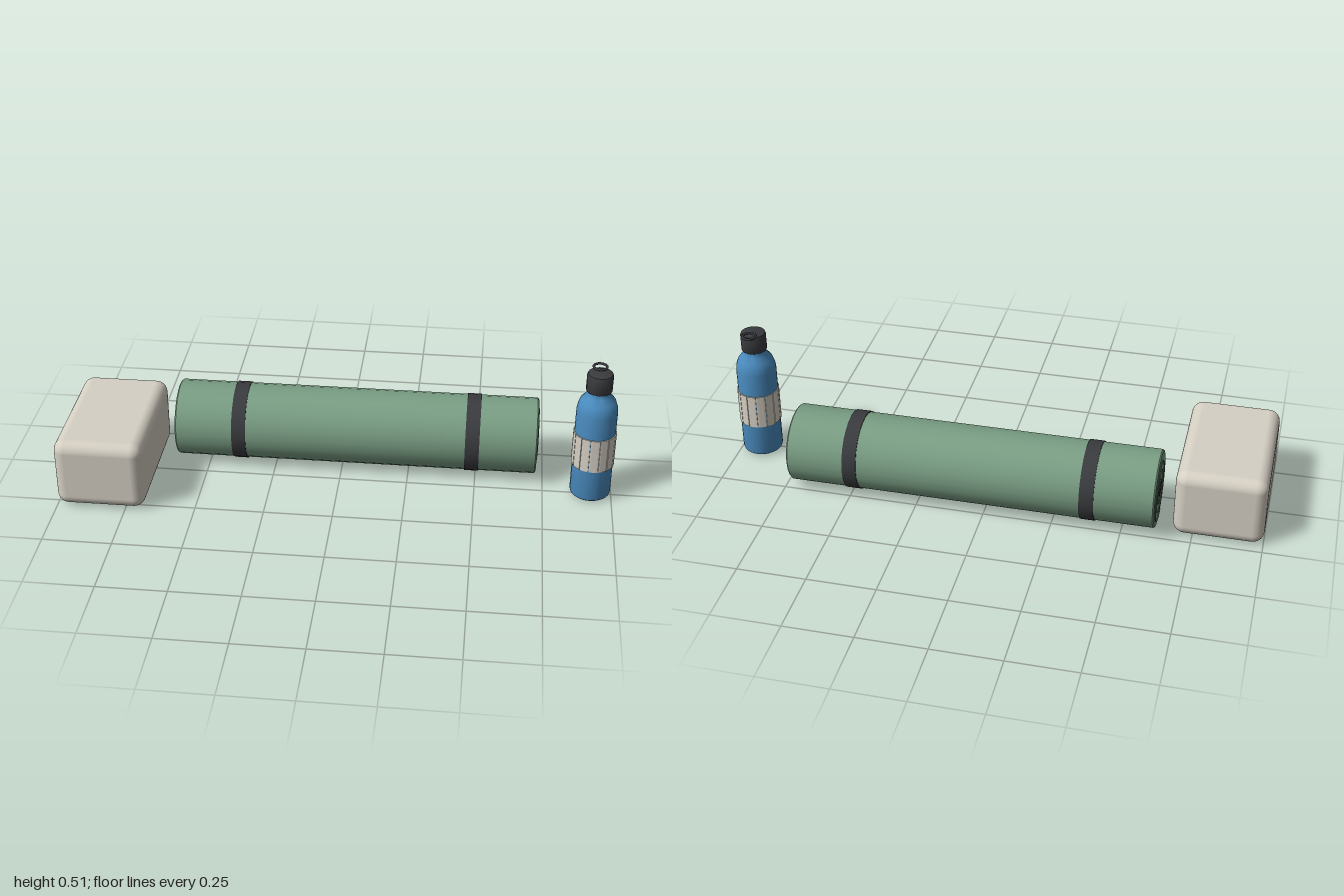
import * as THREE from 'three';
import { RoundedBoxGeometry } from 'three/addons/geometries/RoundedBoxGeometry.js';
import { toCreasedNormals } from 'three/addons/utils/BufferGeometryUtils.js';

const material = (color) => new THREE.MeshStandardMaterial({ color });
const cream = material(0xd6d0c4);
const green = material(0x7a9e84);
const darkGreen = material(0x58755f);
const blue = material(0x4a8cc0);
const black = material(0x3a3b3e);

function add(parent, name, geometry, mat, x = 0, y = 0, z = 0) {
  const mesh = new THREE.Mesh(geometry, mat);
  mesh.name = name;
  mesh.position.set(x, y, z);
  parent.add(mesh);
  return mesh;
}

// Revolved solid from [radius, height] pairs
function lathe(points, segments) {
  const profile = points.map(([r, y]) => new THREE.Vector2(r, y));
  return toCreasedNormals(new THREE.LatheGeometry(profile, segments), 0.6);
}

// Spiral line of the rolled layers, drawn in the plane of a mat end
function spiralGeometry() {
  const points = [];
  for (let i = 0; i <= 40; i++) {
    const turn = (i / 40) * 2.8;
    const r = 0.03 + 0.0325 * turn;
    const a = turn * Math.PI * 2;
    points.push(new THREE.Vector3(0, Math.sin(a) * r, Math.cos(a) * r));
  }
  return new THREE.TubeGeometry(new THREE.CatmullRomCurve3(points), 80, 0.0035, 6);
}

function createMat() {
  const mat = new THREE.Group();
  mat.name = 'rolledMat';
  mat.position.set(0.0515, 0.144, -0.152);
  const h = 0.671;

  const roll = add(mat, 'matRoll', lathe([
    [0, -h], [0.136, -h], [0.141, -h + 0.005],
    [0.141, h - 0.005], [0.136, h], [0, h],
  ], 24), green);
  roll.rotation.z = -Math.PI / 2;

  // Dark core showing at both ends
  const core = add(mat, 'matCore', new THREE.CylinderGeometry(0.028, 0.028, 2 * h + 0.006, 12), black);
  core.rotation.z = -Math.PI / 2;

  const spiral = spiralGeometry();
  for (const side of [-1, 1]) {
    add(mat, 'matEndSpiral', spiral, darkGreen, side * h);
  }

  // Straps around the roll
  for (const x of [-0.4315, 0.4335]) {
    const strap = add(mat, 'matStrap', lathe([
      [0.138, -0.026], [0.144, -0.026], [0.144, 0.026], [0.138, 0.026],
    ], 24), black, x);
    strap.rotation.z = -Math.PI / 2;
  }
  return mat;
}

function createBottle() {
  const bottle = new THREE.Group();
  bottle.name = 'waterBottle';
  bottle.position.set(0.923, 0, -0.01);

  add(bottle, 'bottleBody', lathe([
    [0, 0.004], [0.066, 0.004], [0.071, 0.008], [0.074, 0.018], [0.074, 0.35],
    [0.071, 0.37], [0.063, 0.393], [0.044, 0.415], [0.042, 0.42], [0.042, 0.435], [0, 0.435],
  ], 28), blue);

  add(bottle, 'bottleCap', lathe([
    [0, 0.432], [0.045, 0.432], [0.047, 0.435], [0.047, 0.493],
    [0.044, 0.5], [0.04, 0.502], [0, 0.502],
  ], 24), black);

  // Flat carrying loop overhanging the back of the cap
  const loop = add(bottle, 'capLoop', new THREE.TorusGeometry(0.024, 0.0045, 8, 24), black, 0, 0.505, -0.039);
  loop.rotation.x = Math.PI / 2;

  // Sleeve of narrow panels with slits between them
  const count = 14;
  const inner = 0.073, outer = 0.0775, half = Math.PI / count - 0.016;
  const section = new THREE.Shape();
  section.absarc(0, 0, outer, -half, half, false);
  section.absarc(0, 0, inner, half, -half, true);
  const panel = toCreasedNormals(new THREE.ExtrudeGeometry(section, {
    depth: 0.131, bevelEnabled: false, curveSegments: 4,
  }), 0.6);
  panel.rotateX(-Math.PI / 2);
  for (let i = 0; i < count; i++) {
    const mesh = add(bottle, 'sleevePanel', panel, cream, 0, 0.133, 0);
    mesh.rotation.y = ((i + 0.5) / count) * Math.PI * 2;
  }
  return bottle;
}

export function createModel() {
  const model = new THREE.Group();
  model.name = 'yogaSet';
  add(model, 'foamBlock', new RoundedBoxGeometry(0.322, 0.26, 0.523, 4, 0.042), cream, -0.839, 0.134, 0.033);
  model.add(createMat(), createBottle());
  return model;
}
